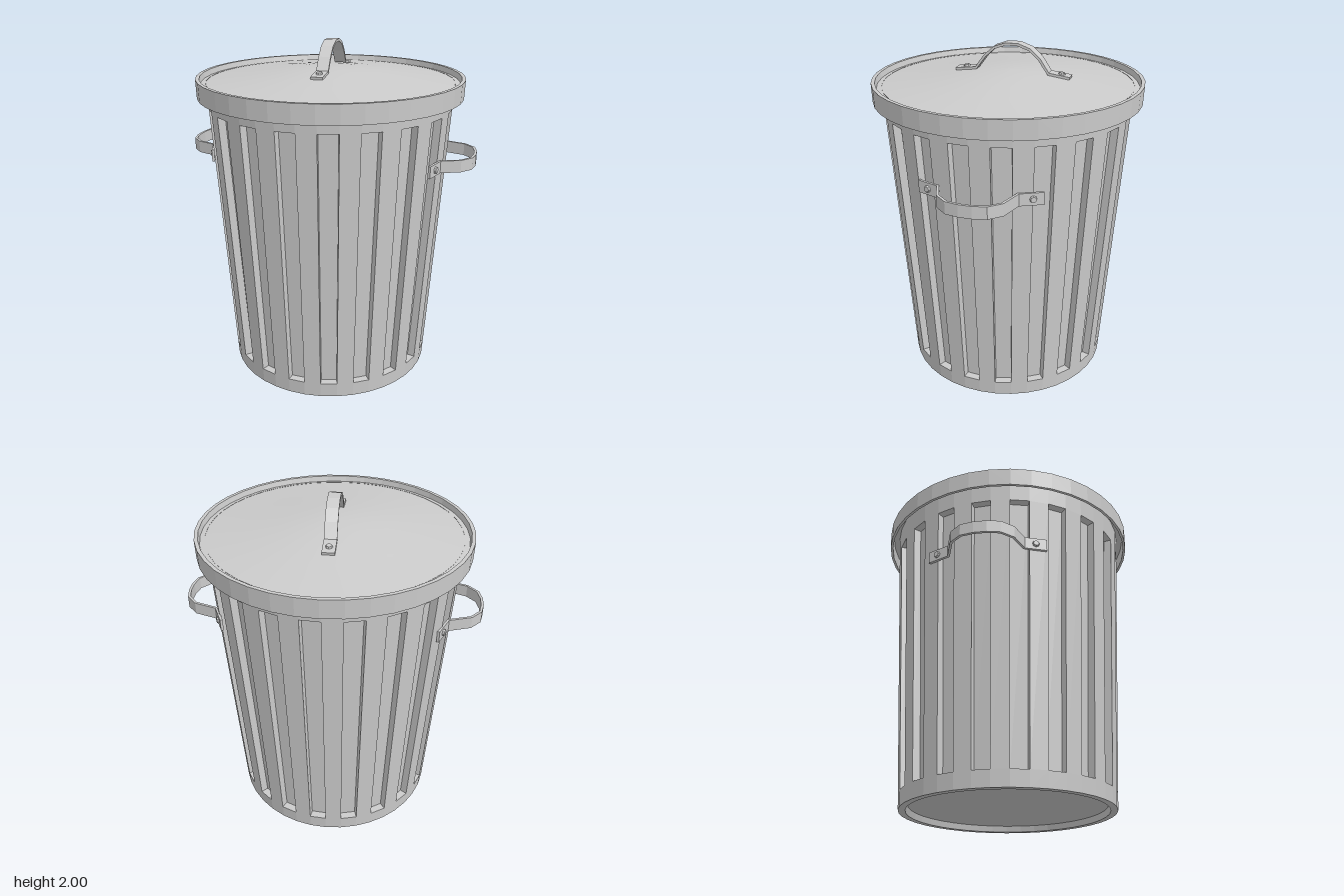
import * as THREE from 'three';

const SIDES = 40;
const flat = new THREE.MeshStandardMaterial({ color: 0xcccccc, flatShading: true, side: THREE.DoubleSide });
const smooth = new THREE.MeshStandardMaterial({ color: 0xcccccc, side: THREE.DoubleSide });

function mesh(name, geometry, material = flat) {
  const m = new THREE.Mesh(geometry, material);
  m.name = name;
  return m;
}

function lathe(name, points, material) {
  const profile = points.map(([r, y]) => new THREE.Vector2(r, y));
  return mesh(name, new THREE.LatheGeometry(profile, SIDES), material);
}

// Tapered wall: every second column is sunk between two horizontal ledges
function flutedWall() {
  const low = 0.09, high = 1.63, top = 1.77, depth = 0.045;
  const pos = [];
  const point = (column, y, sunk = 0) => {
    const a = (column / SIDES) * Math.PI * 2;
    const r = 0.615 + 0.06 * y - sunk;
    return [Math.sin(a) * r, y, Math.cos(a) * r];
  };
  const quad = (a, b, c, d) => pos.push(...a, ...b, ...c, ...a, ...c, ...d);
  const panel = (i, y0, y1, s0 = 0, s1 = s0) =>
    quad(point(i, y0, s0), point(i + 1, y0, s0), point(i + 1, y1, s1), point(i, y1, s1));
  for (let i = 0; i < SIDES; i++) {
    const sunk = i % 2 ? depth : 0;
    panel(i, 0, low);
    panel(i, low, high, sunk);
    panel(i, high, top);
    if (!sunk) continue;
    panel(i, low, low, 0, depth);
    panel(i, high, high, depth, 0);
    quad(point(i, low), point(i, low, depth), point(i, high, depth), point(i, high));
    quad(point(i + 1, low, depth), point(i + 1, low), point(i + 1, high), point(i + 1, high, depth));
  }
  const g = new THREE.BufferGeometry();
  g.setAttribute('position', new THREE.Float32BufferAttribute(pos, 3));
  g.computeVertexNormals();
  return g;
}

// Bent metal strap with a rivet in each foot; path runs along +X and bulges to +Y
function strapHandle(name, path, width = 0.07, thickness = 0.015) {
  const group = new THREE.Group();
  group.name = name;
  const pts = path.map(([x, y]) => new THREE.Vector2(x, y));
  const outer = pts.map((p, i) => {
    const t = pts[Math.min(i + 1, pts.length - 1)].clone().sub(pts[Math.max(i - 1, 0)]).normalize();
    return new THREE.Vector2(p.x - t.y * thickness, p.y + t.x * thickness);
  });
  const strap = new THREE.ExtrudeGeometry(new THREE.Shape([...pts, ...outer.reverse()]),
    { depth: width, bevelEnabled: false });
  strap.translate(0, 0, -width / 2);
  group.add(mesh('strap', strap));
  const last = pts.length - 1;
  for (const [a, b, k] of [[pts[0], pts[1], 0.42], [pts[last - 1], pts[last], 0.52]]) {
    const p = a.clone().lerp(b, k);
    const angle = Math.atan2(b.y - a.y, b.x - a.x);
    const rivet = mesh('rivet', new THREE.CylinderGeometry(0.016, 0.021, 0.012, 8));
    rivet.position.set(p.x - Math.sin(angle) * 0.019, p.y + Math.cos(angle) * 0.019, 0);
    rivet.rotation.z = angle;
    group.add(rivet);
  }
  return group;
}

// Mirrors the arch offsets about its middle, which sits slightly behind centre
function archPath(half, frontFoot, backFoot) {
  const mid = -0.03;
  return [
    [mid - 0.335, backFoot[0]], [mid - 0.21, backFoot[1]],
    ...half.map(([d, h]) => [mid - d, h]),
    ...half.slice().reverse().map(([d, h]) => [mid + d, h]),
    [mid + 0.21, frontFoot[1]], [mid + 0.335, frontFoot[0]],
  ];
}

export function createModel() {
  const model = new THREE.Group();
  model.name = 'dustbin';

  // Body and recessed base
  model.add(mesh('flutedBody', flutedWall()));
  model.add(lathe('base', [[0, 0.035], [0.565, 0.035], [0.575, 0], [0.615, 0]], flat));

  // Lid: skirt with raised lip, and a shallow dome
  model.add(lathe('lidRim', [[0.7, 1.765], [0.757, 1.765], [0.76, 1.69], [0.775, 1.69],
    [0.778, 1.798], [0.757, 1.798], [0.75, 1.765]], flat));
  model.add(lathe('lidDome', [[0.752, 1.765], [0.6, 1.783], [0.45, 1.802], [0.3, 1.822],
    [0.18, 1.836], [0.08, 1.843], [0, 1.845]], smooth));

  // Lid handle, running front to back
  const X = new THREE.Vector3(1, 0, 0), Y = new THREE.Vector3(0, 1, 0), Z = new THREE.Vector3(0, 0, 1);
  const lidHandle = strapHandle('lidHandle', archPath(
    [[0.155, 1.91], [0.1, 1.96], [0.035, 1.983]], [1.822, 1.837], [1.813, 1.831]));
  lidHandle.quaternion.setFromRotationMatrix(
    new THREE.Matrix4().makeBasis(Z, Y, X.clone().negate()));
  model.add(lidHandle);

  // Carrying handles on both sides of the body
  for (const side of [1, -1]) {
    const handle = strapHandle(side > 0 ? 'leftHandle' : 'rightHandle', archPath(
      [[0.165, 0.785], [0.105, 0.838], [0.035, 0.852]], [0.626, 0.672], [0.593, 0.652]));
    handle.quaternion.setFromRotationMatrix(new THREE.Matrix4().makeBasis(
      Z, X.clone().multiplyScalar(side), Y.clone().multiplyScalar(side)));
    handle.position.y = 1.345;
    model.add(handle);
  }
  return model;
}
